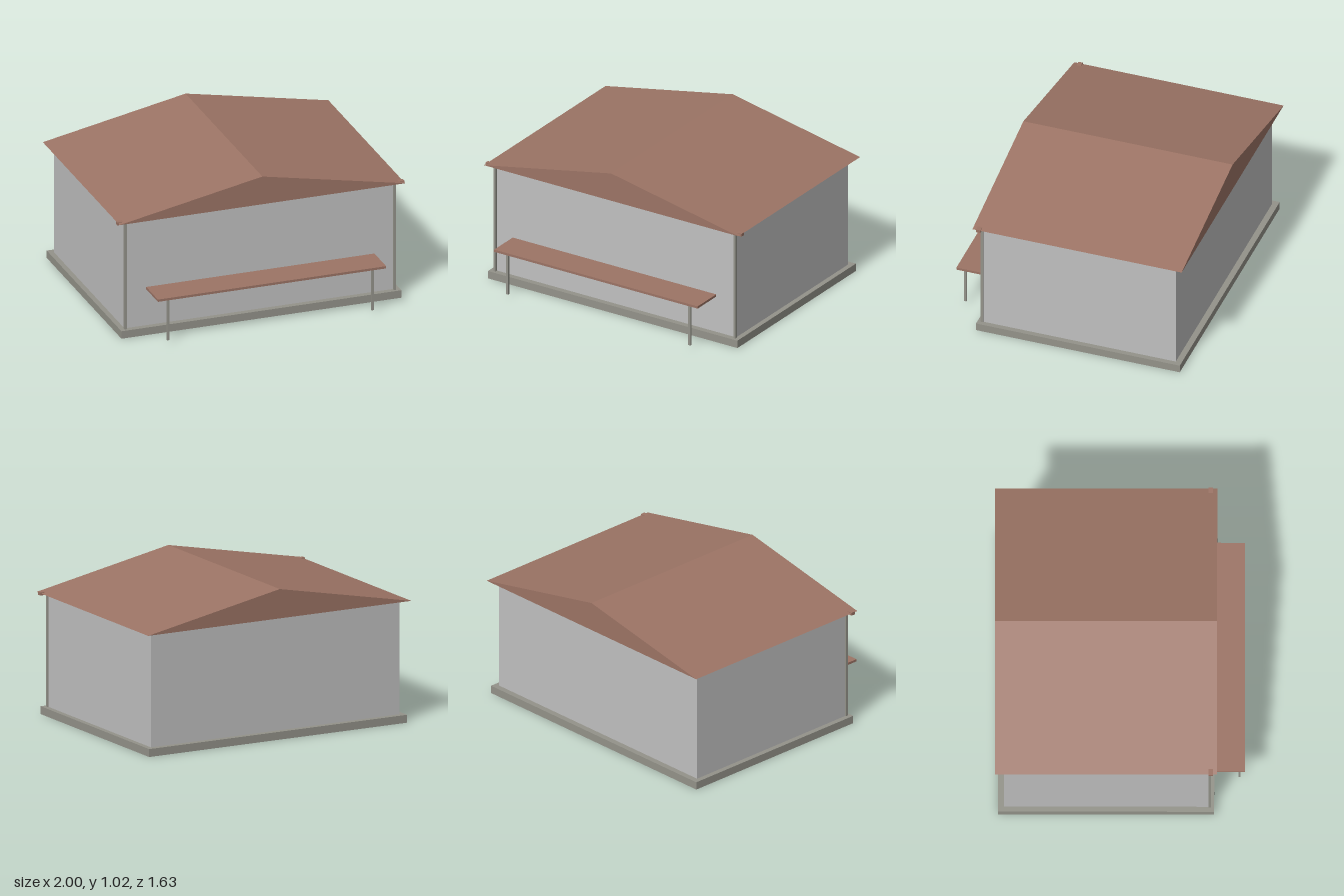
import * as THREE from 'three';

export function createModel() {
  const model = new THREE.Group();
  model.name = 'house';

  const material = (name, color) => {
    const m = new THREE.MeshStandardMaterial({ color });
    m.name = name;
    return m;
  };
  const brown = material('roofBrown', 0x9c7465);
  const wallGrey = material('wallGrey', 0xc0c0c0);
  const stone = material('stoneGrey', 0x94938a);

  // Box given by its min and max corners
  const box = (name, mat, [x0, y0, z0], [x1, y1, z1]) => {
    const mesh = new THREE.Mesh(new THREE.BoxGeometry(x1 - x0, y1 - y0, z1 - z0), mat);
    mesh.position.set((x0 + x1) / 2, (y0 + y1) / 2, (z0 + z1) / 2);
    mesh.name = name;
    model.add(mesh);
  };

  box('foundation', stone, [-0.975, 0, -0.797], [0.975, 0.053, 0.617]);
  box('walls', wallGrey, [-0.94, 0.053, -0.757], [0.94, 0.82, 0.578]);

  // Solid gable roof, ridge running front to back
  const gable = new THREE.Shape([
    new THREE.Vector2(-0.995, 0.82),
    new THREE.Vector2(0.995, 0.82),
    new THREE.Vector2(0, 1.017),
  ]);
  const roof = new THREE.Mesh(
    new THREE.ExtrudeGeometry(gable, { depth: 1.452, bevelEnabled: false }), brown);
  roof.position.z = -0.817;
  roof.name = 'roof';
  model.add(roof);

  // Beam under the front eave and the awning panel
  box('frontBeam', brown, [-1, 0.807, 0.578], [1, 0.827, 0.608]);
  box('awning', brown, [-0.795, 0.317, 0.595], [0.795, 0.333, 0.817]);

  // Front posts and awning legs on both sides
  for (const side of [-1, 1]) {
    const post = side * 0.938, leg = side * 0.712;
    box('frontPost', stone, [post - 0.008, 0.053, 0.578], [post + 0.008, 0.81, 0.597]);
    box('awningLeg', stone, [leg - 0.008, 0.02, 0.774], [leg + 0.008, 0.317, 0.79]);
  }

  return model;
}
